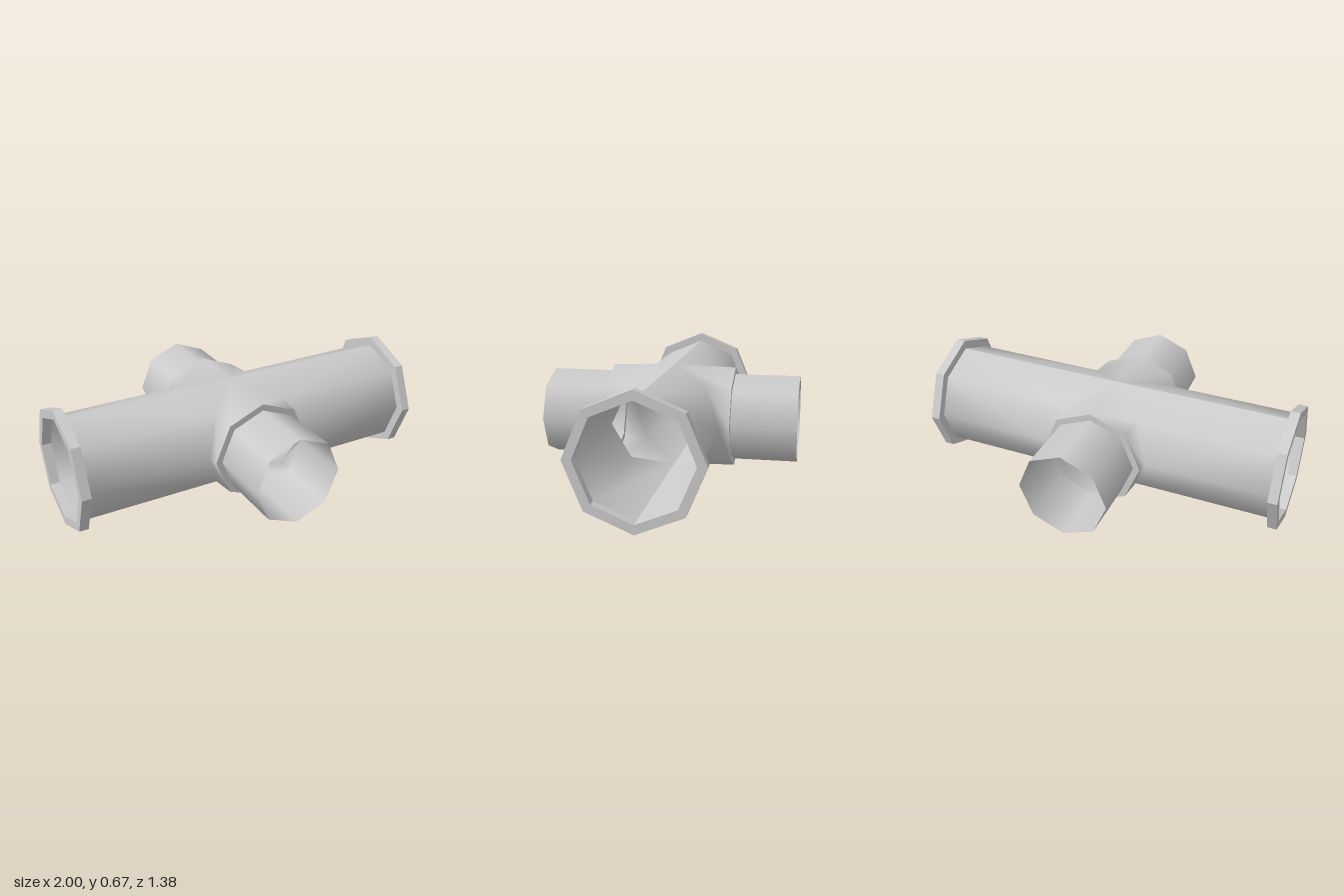
import * as THREE from 'three';
import { mergeVertices } from 'three/addons/utils/BufferGeometryUtils.js';

const SIDES = 8;
const AXIS_Y = 0.336;   // height of the pipe axes
const MAIN_R = 0.287;
const COLLAR_R = 0.276;
const COLLAR_Z = 0.34;
const BRANCH_R = 0.24;
const BRANCH_END = 0.69;
const FLANGE_R = 0.336;
const FLANGE_T = 0.05;

const material = new THREE.MeshStandardMaterial({ color: 0xcccccc, side: THREE.DoubleSide });

function addMesh(parent, name, geometry) {
  const mesh = new THREE.Mesh(geometry, material);
  mesh.name = name;
  parent.add(mesh);
  return mesh;
}

// Half of the cross: one collar and the matching half of the main pipe, mitred at 45 degrees
function halfShell() {
  const positions = [];
  const loft = (inner, outer, steps, flip) => {
    for (let i = 0; i < steps; i++) {
      const a = -Math.PI / 2 + (i * 2 * Math.PI) / SIDES;
      const b = a + (2 * Math.PI) / SIDES;
      const [p, q, r, s] = [inner(a), inner(b), outer(b), outer(a)];
      const corners = flip ? [p, r, q, p, s, r] : [p, q, r, p, r, s];
      for (const c of corners) positions.push(...c);
    }
  };
  // collar running towards +z, full circle
  loft(
    (t) => [MAIN_R * Math.cos(t), MAIN_R * Math.sin(t), Math.abs(MAIN_R * Math.cos(t))],
    (t) => [COLLAR_R * Math.cos(t), COLLAR_R * Math.sin(t), COLLAR_Z],
    SIDES, false
  );
  // main pipe running both ways along x, front half only
  for (const side of [-1, 1]) {
    const point = (t, x) => [side * x, MAIN_R * Math.sin(t), MAIN_R * Math.cos(t)];
    loft(
      (t) => point(t, Math.abs(MAIN_R * Math.cos(t))),
      (t) => point(t, 1 - FLANGE_T),
      SIDES / 2, side > 0
    );
  }
  const geometry = new THREE.BufferGeometry();
  geometry.setAttribute('position', new THREE.Float32BufferAttribute(positions, 3));
  const merged = mergeVertices(geometry, 1e-4);
  merged.computeVertexNormals();
  return merged;
}

function octagon(radius, Type) {
  const points = [];
  for (let i = 0; i < SIDES; i++) {
    const a = (i * 2 * Math.PI) / SIDES;
    points.push(new THREE.Vector2(radius * Math.cos(a), radius * Math.sin(a)));
  }
  return new Type(points);
}

export function createModel() {
  const model = new THREE.Group();
  model.name = 'pipeCross';

  // front and back halves, each with its branch
  for (const [name, turn] of [['front', 0], ['back', Math.PI]]) {
    const half = new THREE.Group();
    half.name = name + 'Half';
    half.position.y = AXIS_Y;
    half.rotation.y = turn;
    model.add(half);

    addMesh(half, name + 'PipeShell', halfShell());

    const step = addMesh(half, name + 'CollarFace', new THREE.RingGeometry(BRANCH_R, COLLAR_R, SIDES));
    step.position.z = COLLAR_Z;

    const length = BRANCH_END - COLLAR_Z;
    const tube = new THREE.CylinderGeometry(BRANCH_R, BRANCH_R, length, SIDES, 1, true);
    tube.rotateX(Math.PI / 2);
    addMesh(half, name + 'BranchPipe', tube).position.z = COLLAR_Z + length / 2;
  }

  // octagonal flanges at both ends of the main pipe
  const ring = octagon(FLANGE_R, THREE.Shape);
  ring.holes.push(octagon(MAIN_R, THREE.Path));
  const flange = new THREE.ExtrudeGeometry(ring, { depth: FLANGE_T, bevelEnabled: false });
  for (const [name, side] of [['left', 1], ['right', -1]]) {
    const mesh = addMesh(model, name + 'Flange', flange);
    mesh.rotation.y = (side * Math.PI) / 2;
    mesh.position.set(side * (1 - FLANGE_T), AXIS_Y, 0);
  }

  return model;
}
